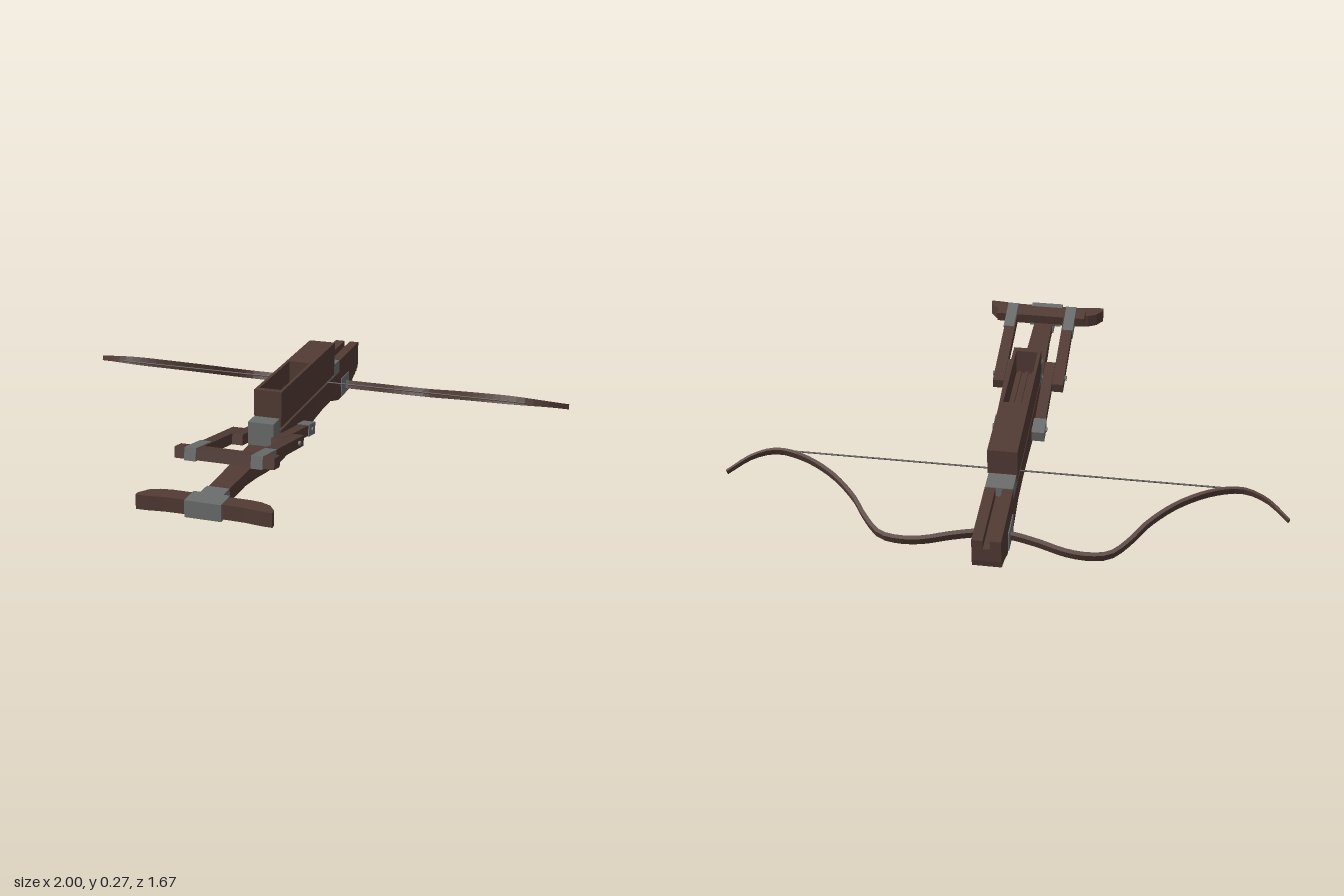
import * as THREE from 'three';

export function createModel() {
  const model = new THREE.Group();
  const mat = (name, color) => {
    const m = new THREE.MeshStandardMaterial({ color });
    m.name = name;
    return m;
  };
  const wood = mat('dark wood', 0x513b34);
  const metal = mat('grey metal', 0x6b6c6c);
  const cord = mat('bowstring cord', 0x4a4644);

  const add = (name, geo, material, parent = model) => {
    const mesh = new THREE.Mesh(geo, material);
    mesh.name = name;
    parent.add(mesh);
    return mesh;
  };
  // Box given by its limits on each axis
  const box = (name, [x0, x1], [y0, y1], [z0, z1], material, parent) => {
    const g = new THREE.BoxGeometry(x1 - x0, y1 - y0, z1 - z0);
    g.translate((x0 + x1) / 2, (y0 + y1) / 2, (z0 + z1) / 2);
    return add(name, g, material, parent);
  };
  const rod = (name, x0, x1, r, y, z, material, parent) => {
    const g = new THREE.CylinderGeometry(r, r, Math.abs(x1 - x0), 8);
    g.rotateZ(Math.PI / 2).translate((x0 + x1) / 2, y, z);
    return add(name, g, material, parent);
  };
  const shapeOf = pts => new THREE.Shape(pts.map(p => new THREE.Vector2(p[0], p[1])));
  const extrude = (shape, depth) => new THREE.ExtrudeGeometry(shape, { depth, bevelEnabled: false });

  // Stock: side profile of [z, y], narrowing towards the butt
  const profile = [
    [0.75, 0.035], [0.53, 0.035], [0.43, 0.026], [0.33, 0.012], [0.22, 0.001], [0, 0.001], [-0.1, 0.015],
    [-0.22, 0.028], [-0.32, 0.034], [-0.43, 0.034], [-0.49, 0.017], [-0.55, 0.001], [-0.7, 0.001],
    [-0.78, 0.042], [-0.79, 0.038], [-0.8, 0.05], [-0.815, 0.047], [-0.82, 0.06], [-0.832, 0.058],
    [-0.836, 0.085], [-0.55, 0.085], [-0.2, 0.085], [0.2, 0.085], [0.4, 0.085], [0.75, 0.085],
  ];
  const stock = extrude(shapeOf(profile.slice().reverse()), 1);
  stock.translate(0, 0, -0.5).rotateY(-Math.PI / 2);
  const pos = stock.attributes.position;
  for (let i = 0; i < pos.count; i++) {
    const half = THREE.MathUtils.lerp(0.05, 0.036, THREE.MathUtils.smoothstep(pos.getZ(i), 0.15, 0.6));
    pos.setX(i, pos.getX(i) * 2 * half);
  }
  stock.computeVertexNormals();
  add('stock', stock, wood);

  // Bolt bed and grooved nose
  box('boltBed', [-0.05, 0.05], [0.085, 0.122], [-0.836, 0.19], wood);
  for (const s of [-1, 1]) {
    box('noseRail', s < 0 ? [-0.05, -0.012] : [0.012, 0.05], [0.122, 0.17], [-0.836, -0.555], wood);
  }
  box('noseGrooveFloor', [-0.012, 0.012], [0.122, 0.135], [-0.836, -0.555], wood);
  box('frontBand', [-0.049, 0.049], [0.122, 0.172], [-0.555, -0.475], metal);
  box('rearBlock', [-0.049, 0.049], [0.085, 0.172], [0.2, 0.268], metal);

  // Magazine with a long open slot, above the string gap
  box('magazineBase', [-0.05, 0.05], [0.132, 0.172], [-0.475, 0.19], wood);
  const wall = shapeOf([[-0.053, -0.19], [0.053, -0.19], [0.053, 0.475], [-0.053, 0.475]]);
  wall.holes.push(new THREE.Path([[-0.041, -0.165], [-0.041, 0.178], [0.041, 0.178], [0.041, -0.165]]
    .map(p => new THREE.Vector2(p[0], p[1]))));
  add('magazineWalls', extrude(wall, 0.1).rotateX(-Math.PI / 2).translate(0, 0.17, 0), wood);
  for (const x of [-0.026, 0, 0.026]) {
    box('slotRib', [x - 0.006, x + 0.006], [0.17, 0.18], [-0.178, 0.165], wood);
  }

  // Curved butt rest with its metal clamp
  const half = [[0.06, 0.752], [0.14, 0.752], [0.18, 0.758], [0.215, 0.775], [0.24, 0.81],
    [0.24, 0.83], [0.2, 0.828], [0.14, 0.82], [0.06, 0.818]];
  for (const s of [-1, 1]) {
    const pts = half.map(([x, z]) => [x * s, -z]);
    add('buttWing', extrude(shapeOf(pts), 0.052).rotateX(-Math.PI / 2).translate(0, 0.034, 0), wood);
  }
  box('buttClamp', [-0.065, 0.065], [0.03, 0.09], [0.748, 0.832], metal);
  box('buttCollar', [-0.041, 0.041], [0.031, 0.089], [0.69, 0.75], metal);

  // Recurved bow lying in a plane tilted about x
  const tilt = 0.35;
  const bowPath = [[0.05, -0.645], [0.15, -0.664], [0.25, -0.69], [0.33, -0.696], [0.4, -0.683],
    [0.46, -0.63], [0.52, -0.555], [0.62, -0.472], [0.74, -0.415], [0.84, -0.4], [0.92, -0.43], [0.997, -0.5]]
    .map(([x, z]) => new THREE.Vector3(x, -(z + 0.695) / Math.cos(tilt), 0));
  const mirrored = bowPath.slice().reverse().map(p => new THREE.Vector3(-p.x, p.y, 0));
  const curve = new THREE.CatmullRomCurve3([...mirrored, ...bowPath], false, 'centripetal');
  const upper = [], lower = [], N = 72;
  for (let i = 0; i <= N; i++) {
    const p = curve.getPointAt(i / N), t = curve.getTangentAt(i / N);
    const h = THREE.MathUtils.lerp(0.008, 0.004, Math.abs(p.x) ** 2);
    upper.push([p.x - t.y * h, p.y + t.x * h]);
    lower.push([p.x + t.y * h, p.y - t.x * h]);
  }
  const bow = extrude(shapeOf([...lower, ...upper.reverse()]), 1);
  bow.translate(0, 0, -0.5).rotateX(-Math.PI / 2);
  const bp = bow.attributes.position;
  for (let i = 0; i < bp.count; i++) {
    bp.setY(i, bp.getY(i) * (0.034 - 0.014 * THREE.MathUtils.smoothstep(Math.abs(bp.getX(i)), 0.75, 1)));
  }
  bow.computeVertexNormals();
  const bowMesh = add('bow', bow, wood);
  bowMesh.rotation.x = -tilt;
  bowMesh.position.set(0, 0.022, -0.695);
  box('bowMount', [-0.054, 0.054], [0.006, 0.083], [-0.685, -0.58], metal);
  rod('bowstring', -0.845, 0.845, 0.003, 0.127, -0.39, cord);

  // Cocking lever: two jointed arms joined by a handle, z running along the lever
  const lever = new THREE.Group();
  lever.name = 'cockingLever';
  lever.position.set(0, 0.055, -0.035);
  lever.rotation.x = -0.175;
  model.add(lever);
  for (const s of [-1, 1]) {
    const span = (a, b) => (s > 0 ? [a, b] : [-b, -a]);
    box('innerArm', span(0.054, 0.094), [-0.02, 0.02], [-0.02, 0.352], wood, lever);
    box('outerArm', span(0.095, 0.138), [-0.02, 0.02], [0.228, 0.66], wood, lever);
    box('pivotBracket', span(0.05, 0.098), [-0.023, 0.023], [-0.04, 0.036], metal, lever);
    box('handleClamp', span(0.099, 0.141), [-0.023, 0.023], [0.545, 0.688], metal, lever);
    rod('pivotPin', s * 0.045, s * 0.104, 0.009, 0, 0, metal, lever);
    rod('jointPin', s * 0.05, s * 0.146, 0.009, 0, 0.287, metal, lever);
  }
  box('handle', [-0.18, 0.18], [-0.02, 0.02], [0.622, 0.68], wood, lever);

  return model;
}
